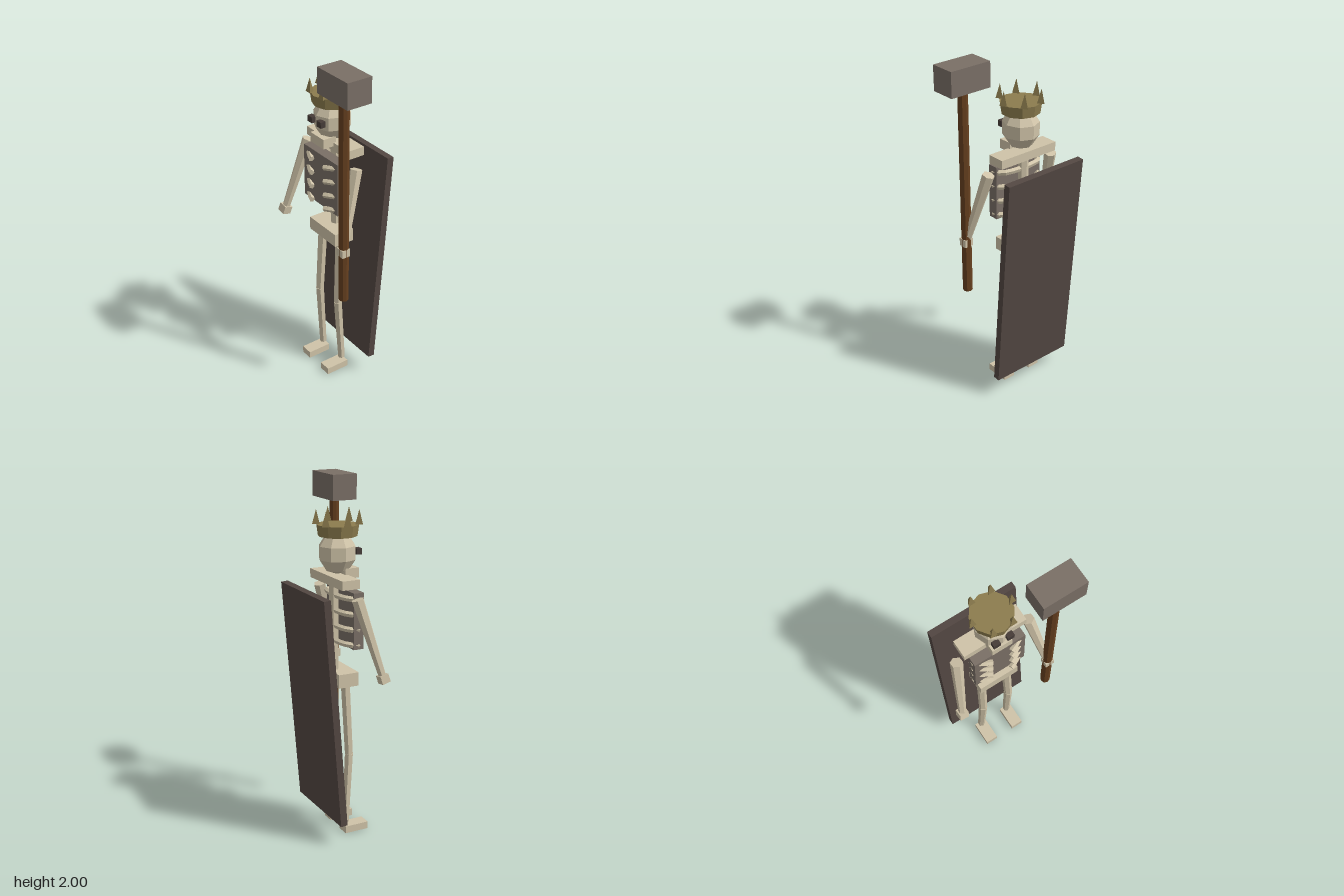
import * as THREE from 'three';

const mat = (name, color) => {
  const m = new THREE.MeshStandardMaterial({ color, flatShading: true });
  m.name = name;
  return m;
};

export function createModel() {
  const bone = mat('bone', 0xcfc3a8);
  const iron = mat('iron', 0x7a6f66);
  const cloth = mat('cape cloth', 0x534742);
  const wood = mat('wood', 0x66401f);
  const gold = mat('old gold', 0x8c7c4e);
  const dark = mat('eye socket', 0x463c38);

  const model = new THREE.Group();
  model.name = 'skeletonKing';
  // The body stands a little to one side of the centre
  const body = new THREE.Group();
  body.name = 'body';
  body.position.x = -0.05;
  model.add(body);

  const add = (parent, name, geo, material, x = 0, y = 0, z = 0) => {
    const m = new THREE.Mesh(geo, material);
    m.name = name;
    m.position.set(x, y, z);
    parent.add(m);
    return m;
  };
  const box = (parent, name, material, w, h, d, x, y, z) =>
    add(parent, name, new THREE.BoxGeometry(w, h, d), material, x, y, z);
  // Six-sided bone from a (upper end) to b (lower end)
  const UP = new THREE.Vector3(0, 1, 0);
  const limb = (name, a, b, rTop, rBottom) => {
    const p = new THREE.Vector3(...a), q = new THREE.Vector3(...b);
    const dir = p.clone().sub(q);
    const m = add(body, name, new THREE.CylinderGeometry(rTop, rBottom, dir.length(), 6), bone);
    m.position.copy(p).add(q).multiplyScalar(0.5);
    m.quaternion.setFromUnitVectors(UP, dir.normalize());
    return m;
  };

  // Head
  const skull = add(body, 'skull', new THREE.SphereGeometry(0.107, 8, 5), bone, 0, 1.61, 0.005);
  skull.scale.set(0.97, 1.12, 1.02);
  box(body, 'jaw', bone, 0.12, 0.055, 0.08, 0, 1.5, 0.065);

  // Crown with three-sided spikes
  add(body, 'crownBand', new THREE.CylinderGeometry(0.116, 0.107, 0.062, 10), gold, 0, 1.731, 0.007);
  for (let i = 0; i < 6; i++) {
    const a = (i * Math.PI) / 3;
    const spike = add(body, 'crownSpike', new THREE.ConeGeometry(0.024, 0.08, 3), gold,
      0.115 * Math.cos(a), 1.802, 0.007 + 0.115 * Math.sin(a));
    spike.rotation.y = Math.PI;
  }

  // Torso
  box(body, 'shoulderBar', bone, 0.38, 0.05, 0.104, 0, 1.468, -0.012);
  limb('spine', [0, 1.46, -0.016], [0, 0.94, -0.016], 0.029, 0.029);
  box(body, 'chestPlate', iron, 0.313, 0.313, 0.06, 0, 1.255, 0.054);
  box(body, 'pelvis', bone, 0.245, 0.077, 0.122, 0, 0.918, 0.014);

  for (const s of [-1, 1]) {
    box(body, 'eye', dark, 0.04, 0.034, 0.03, s * 0.041, 1.615, 0.107);

    // Ribs wrap around the plate and show through its front
    for (let i = 0; i < 4; i++) {
      const y = 1.37 - i * 0.085;
      const path = new THREE.CatmullRomCurve3([
        [0.01, 0.01, -0.016], [0.115, 0.01, 0.0], [0.15, 0.005, 0.048],
        [0.105, 0.002, 0.083], [0.058, -0.006, 0.103],
      ].map(([x, dy, z]) => new THREE.Vector3(s * x, y + dy, z)));
      add(body, 'rib', new THREE.TubeGeometry(path, 8, 0.016, 5), bone);
      // Closed front end of the rib
      const tip = add(body, 'ribTip', new THREE.CircleGeometry(0.016, 5), bone);
      tip.position.copy(path.getPoint(1));
      tip.lookAt(path.getPoint(1).add(path.getTangent(1)));
    }

    // Arm and hand
    const shoulder = [s * 0.222, 1.395, 0.01];
    const wrist = [s * 0.282, 0.965, 0.135];
    const arm = limb('arm', shoulder, wrist, 0.035, 0.022);
    const hand = box(body, 'hand', bone, 0.054, 0.046, 0.05, s * 0.284, 0.958, 0.137);
    if (s < 0) hand.quaternion.copy(arm.quaternion);

    // Leg, bent a little at the knee, and foot
    const knee = [s * 0.09, 0.47, 0.034];
    limb('thigh', [s * 0.082, 0.9, 0.013], knee, 0.028, 0.025);
    limb('shin', knee, [s * 0.095, 0.058, 0.011], 0.026, 0.022);
    box(body, 'foot', bone, 0.074, 0.042, 0.143, s * 0.095, 0.021, 0.065);
  }

  // Stiff cape, leaning away at the top
  const cape = box(body, 'cape', cloth, 0.525, 1.3, 0.04, 0, 0.77, -0.137);
  cape.rotation.x = -0.08;

  // War hammer held upright in the left hand
  add(model, 'hammerShaft', new THREE.CylinderGeometry(0.028, 0.028, 1.225, 8), wood, 0.234, 1.258, 0.135);
  box(model, 'hammerHead', iron, 0.252, 0.142, 0.147, 0.234, 1.929, 0.135);

  return model;
}
